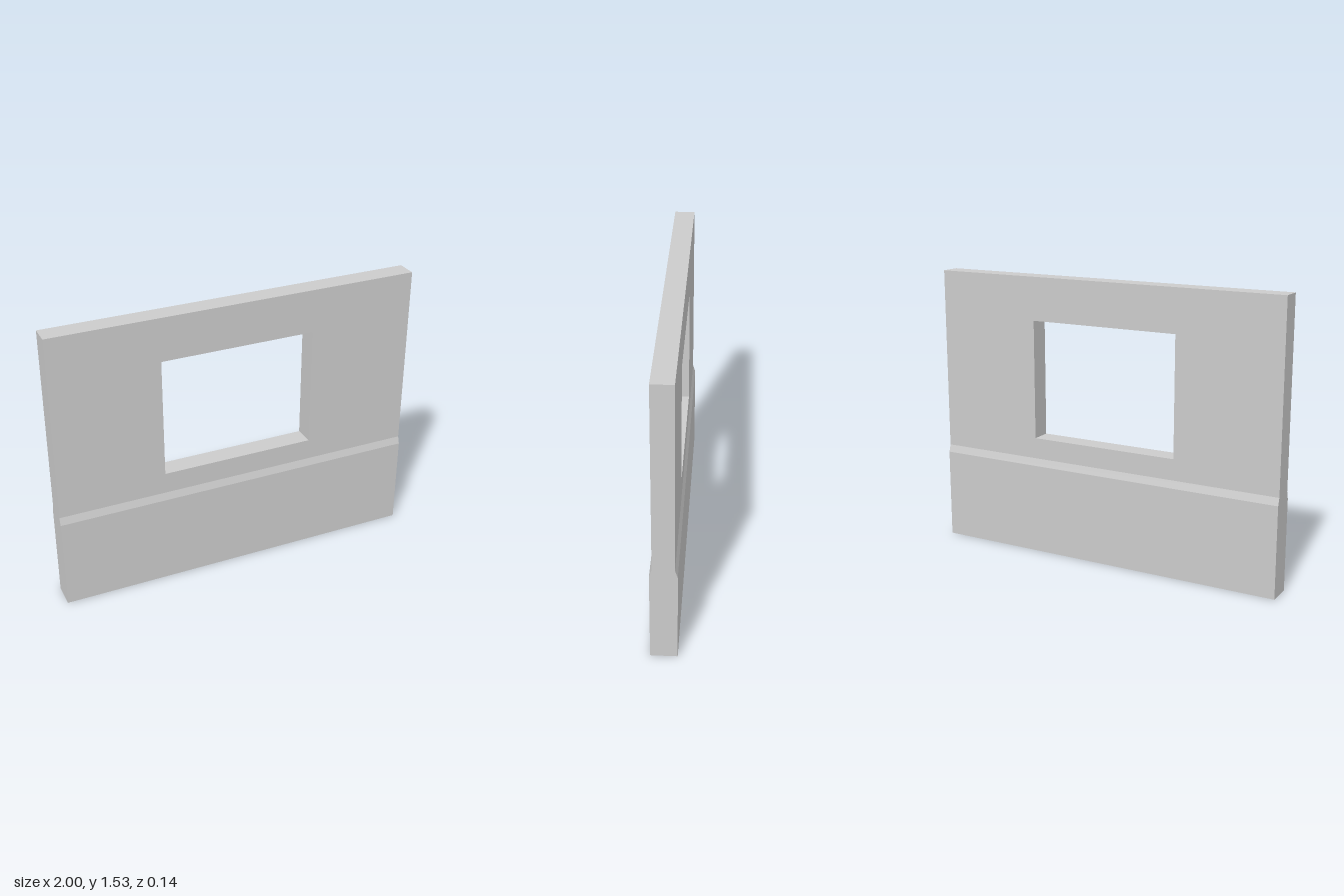
import * as THREE from 'three';

const WIDTH = 2, HEIGHT = 1.535;
const THIN = 0.055, THICK = 0.068; // half thicknesses of wall and plinth
const BEVEL_Y = 0.495, JOIN_Y = 0.535;

const polygon = (points, Type = THREE.Shape) =>
  new Type(points.map(([x, y]) => new THREE.Vector2(x, y)));

const rectangle = (x0, y0, x1, y1, Type) =>
  polygon([[x0, y0], [x1, y0], [x1, y1], [x0, y1]], Type);

export function createModel() {
  const group = new THREE.Group();
  group.name = 'wallPanel';
  const material = new THREE.MeshStandardMaterial({ color: 0xcccccc });

  const add = (name, geometry) => {
    const mesh = new THREE.Mesh(geometry, material);
    mesh.name = name;
    group.add(mesh);
  };

  // Upper wall with the window opening
  const face = rectangle(-WIDTH / 2, JOIN_Y, WIDTH / 2, HEIGHT);
  face.holes.push(rectangle(-0.42, 0.65, 0.418, 1.3, THREE.Path));
  const wall = new THREE.ExtrudeGeometry(face, { depth: THIN * 2, bevelEnabled: false });
  wall.translate(0, 0, -THIN);
  add('upperWall', wall);

  // Thicker plinth, sloping in to the wall on both sides
  const profile = polygon([
    [-THICK, 0], [THICK, 0], [THICK, BEVEL_Y],
    [THIN, JOIN_Y], [-THIN, JOIN_Y], [-THICK, BEVEL_Y],
  ]);
  const plinth = new THREE.ExtrudeGeometry(profile, { depth: WIDTH, bevelEnabled: false });
  plinth.rotateY(Math.PI / 2).translate(-WIDTH / 2, 0, 0);
  add('plinth', plinth);

  return group;
}
